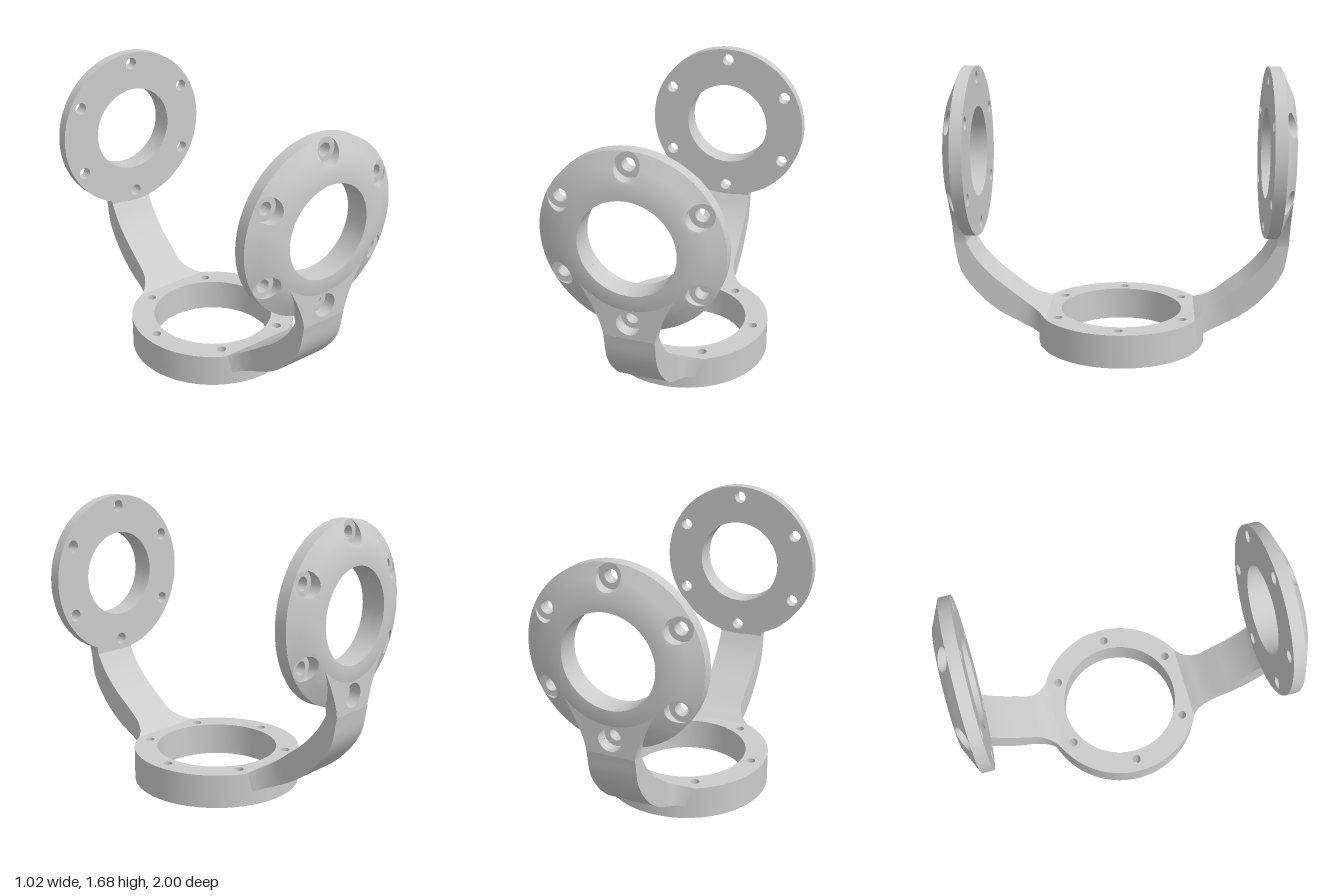
import * as THREE from 'three';
import { toCreasedNormals } from 'three/addons/utils/BufferGeometryUtils.js';

const material = new THREE.MeshStandardMaterial({ color: 0xcccccc, side: THREE.DoubleSide });
const OUTER = 0.51, BORE = 0.27, FLAT = 0.36; // upright ring radii
const BOLT = 0.44, SINK = 0.07;               // bolt circle and counterbore radii
const BACK = 0.86, FLOOR = 0.93, FACE = 1;    // z levels of the upright ring
const CENTRE = 1.175;                         // height of the upright ring's centre

const chamferZ = (r) => Math.min(FACE, FACE - ((r - FLAT) / (OUTER - FLAT)) * (FACE - FLOOR));

function part(name, geometry) {
  const mesh = new THREE.Mesh(toCreasedNormals(geometry, 0.6), material);
  mesh.name = name;
  return mesh;
}

// Skin between successive rows of [x, y, z] points
function skin(rows, closed, skip = -1) {
  const out = [];
  for (let s = 0; s + 1 < rows.length; s++) {
    const a = rows[s], b = rows[s + 1], n = a.length;
    for (let i = 0; i < (closed ? n : n - 1); i++) {
      if (i === skip) continue;
      const j = (i + 1) % n;
      out.push(...a[i], ...a[j], ...b[j], ...a[i], ...b[j], ...b[i]);
    }
  }
  const g = new THREE.BufferGeometry();
  g.setAttribute('position', new THREE.Float32BufferAttribute(out, 3));
  g.computeVertexNormals();
  return g;
}

const circleHole = (x, y, r) => new THREE.Path().absarc(x, y, r, 0, Math.PI * 2, true);

// Flat ring with six small bolt holes
function drilledRing(outer, inner, boltRadius, holeRadius, startAngle, depth) {
  const shape = new THREE.Shape().absarc(0, 0, outer, 0, Math.PI * 2, false);
  shape.holes.push(circleHole(0, 0, inner));
  for (let k = 0; k < 6; k++) {
    const a = startAngle + (k * Math.PI) / 3;
    shape.holes.push(circleHole(boltRadius * Math.cos(a), boltRadius * Math.sin(a), holeRadius));
  }
  return new THREE.ExtrudeGeometry(shape, { depth, bevelEnabled: false, curveSegments: 48 });
}

// Chamfered front of the ring, open where the counterbores are
function chamferedFace() {
  const edge = Math.asin(SINK / BOLT), offsets = [];
  for (let k = -4; k <= 4; k++) offsets.push(edge * Math.sin((k * Math.PI) / 8));
  for (let k = 1; k <= 6; k++) offsets.push(edge + ((Math.PI / 3 - 2 * edge) * k) / 6);
  const rows = [];
  for (let h = 0; h < 6; h++) {
    offsets.forEach((d, i) => {
      if (h > 0 && i === 0) return;
      const a = Math.PI / 2 + (h * Math.PI) / 3 + d;
      const local = Math.min(Math.abs(d), edge);
      const mid = BOLT * Math.cos(local);
      const half = Math.sqrt(Math.max(0, SINK ** 2 - (BOLT * Math.sin(local)) ** 2));
      const profile = [[BORE, FLOOR], [BORE, FACE], [FLAT, FACE],
        [mid - half, chamferZ(mid - half)], [mid + half, chamferZ(mid + half)], [OUTER, FLOOR]];
      rows.push(profile.map(([r, z]) => [r * Math.cos(a), r * Math.sin(a), z]));
    });
  }
  return skin(rows, false, 3);
}

// Counterbore wall whose rim follows the chamfer
function counterboreWall(angle) {
  const g = new THREE.CylinderGeometry(SINK, SINK, 1, 24, 1, true);
  g.rotateX(Math.PI / 2);
  g.translate(BOLT * Math.cos(angle), BOLT * Math.sin(angle), 0);
  const p = g.attributes.position;
  for (let i = 0; i < p.count; i++) {
    p.setZ(i, p.getZ(i) > 0 ? chamferZ(Math.hypot(p.getX(i), p.getY(i))) : FLOOR);
  }
  return g;
}

// Flared plate that blends the arm into the ring's front
function neckPlate() {
  const bottom = 0.64 - CENTRE, endX = 0.27, endY = -0.238;
  const a = Math.atan2(endY, endX);
  const shape = new THREE.Shape();
  shape.moveTo(-0.145, bottom);
  shape.lineTo(0.145, bottom);
  shape.quadraticCurveTo(0.155, 0.74 - CENTRE, endX, endY);
  shape.absarc(0, 0, FLAT, a, -Math.PI - a, true);
  shape.quadraticCurveTo(-0.155, 0.74 - CENTRE, -0.145, bottom);
  shape.holes.push(circleHole(0, -BOLT, SINK));
  const g = new THREE.ExtrudeGeometry(shape, { depth: FACE - FLOOR, bevelEnabled: false, curveSegments: 20 });
  return g.translate(0, 0, FLOOR);
}

// Curved arm; each edge point is [half width, y, z]
function curvedArm() {
  const curve = (pts) => new THREE.CatmullRomCurve3(pts.map((p) => new THREE.Vector3(...p)));
  const inner = curve([[0.25, 0.195, 0.44], [0.19, 0.225, 0.49], [0.15, 0.265, 0.56], [0.145, 0.35, 0.67],
    [0.145, 0.43, 0.77], [0.145, 0.54, 0.87], [0.145, 0.64, 0.93]]);
  const outer = curve([[0.22, 0.07, 0.45], [0.17, 0.1, 0.51], [0.147, 0.14, 0.6], [0.145, 0.21, 0.73],
    [0.145, 0.31, 0.85], [0.145, 0.47, 0.965], [0.145, 0.64, 1]]);
  const rows = [];
  for (let s = 0; s <= 24; s++) {
    const p = inner.getPoint(s / 24), q = outer.getPoint(s / 24);
    rows.push([[p.x, p.y, p.z], [-p.x, p.y, p.z], [-q.x, q.y, q.z], [q.x, q.y, q.z]]);
  }
  return skin(rows, true);
}

function bracketSide(name) {
  const side = new THREE.Group();
  side.name = name;
  const ring = new THREE.Group();
  ring.name = 'uprightRing';
  ring.position.y = CENTRE;
  const plate = drilledRing(OUTER, BORE, BOLT, 0.037, Math.PI / 2, FLOOR - BACK).translate(0, 0, BACK);
  ring.add(part('ringBody', plate), part('ringChamfer', chamferedFace()), part('ringNeck', neckPlate()));
  for (let k = 0; k < 6; k++) {
    ring.add(part('counterbore', counterboreWall(Math.PI / 2 + (k * Math.PI) / 3)));
  }
  side.add(ring, part('arm', curvedArm()));
  return side;
}

export function createModel() {
  const model = new THREE.Group();
  model.name = 'ringBracket';
  // Base ring lying on the ground
  model.add(part('baseRing', drilledRing(OUTER, 0.37, 0.43, 0.027, 0, 0.2).rotateX(-Math.PI / 2)));
  // Two opposite arms with upright rings
  const front = bracketSide('frontSide');
  const back = bracketSide('backSide');
  back.rotation.y = Math.PI;
  model.add(front, back);
  return model;
}
